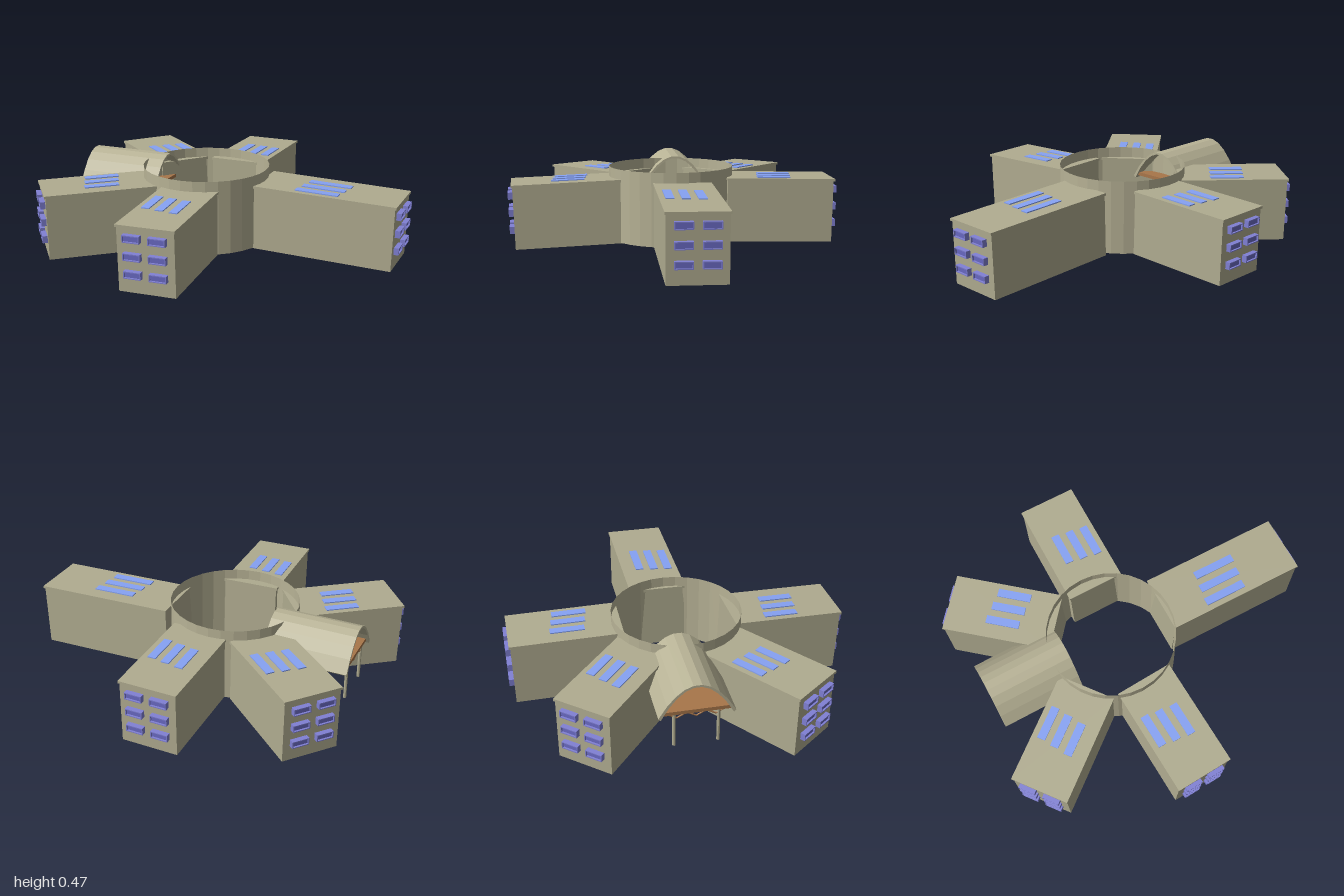
import * as THREE from 'three';

const mat = (color, extra = {}) => new THREE.MeshStandardMaterial({ color, flatShading: true, ...extra });
const wall = mat(0xb0ac90);
const shell = mat(0xb8b396, { side: THREE.DoubleSide });
const glass = mat(0x6a6ac4);
const frameMat = mat(0x8080d4);
const solar = mat(0x86a2f4);
const wood = mat(0xa8764a);

function mesh(name, geometry, material, x = 0, y = 0, z = 0) {
  const m = new THREE.Mesh(geometry, material);
  m.name = name;
  m.position.set(x, y, z);
  return m;
}
const box = (name, w, h, d, material, x, y, z) =>
  mesh(name, new THREE.BoxGeometry(w, h, d), material, x, y, z);

// Round bar between two points
function bar(name, a, b, radius, material) {
  const dir = b.clone().sub(a);
  const m = mesh(name, new THREE.CylinderGeometry(radius, radius, dir.length(), 8), material);
  m.position.copy(a).add(b).multiplyScalar(0.5);
  m.quaternion.setFromUnitVectors(new THREE.Vector3(0, 1, 0), dir.normalize());
  return m;
}

// Projecting window: hollow frame with a recessed pane
function createWindow(x, y, z) {
  const g = new THREE.Group();
  g.name = 'window';
  const w = 0.0475, h = 0.02, t = 0.005;
  const rect = (C, a, b) => new C([[-a, -b], [a, -b], [a, b], [-a, b]].map(p => new THREE.Vector2(...p)));
  const shape = rect(THREE.Shape, w, h);
  shape.holes.push(rect(THREE.Path, w - t, h - t));
  g.add(mesh('windowFrame', new THREE.ExtrudeGeometry(shape, { depth: 0.03, bevelEnabled: false }), frameMat));
  g.add(box('windowPane', 2 * (w - t), 2 * (h - t), 0.02, glass, 0, 0, 0.01));
  g.position.set(x, y, z);
  return g;
}

// Wing running outward along local +z from its inner end
function createWing({ name, from, to, base, drop, panel, along }) {
  const dx = to[0] - from[0], dz = to[1] - from[1];
  const length = Math.hypot(dx, dz);
  const g = new THREE.Group();
  g.name = name;
  g.add(box('wingBody', 0.315, 0.352, length - 0.012, wall, 0, 0.176, length / 2 - 0.002));
  g.add(box('wingRoof', 0.327, 0.014, length, wall, 0, 0.359, length / 2));
  // Roof panels, slightly staggered
  [-0.108, -0.025, 0.06].forEach((x, i) =>
    g.add(box('solarPanel', 0.046, 0.008, panel, solar, x, 0.368, along + (i - 1) * 0.013)));
  // Two columns of three windows on the outer end
  for (const x of [-0.07, 0.07])
    for (const y of [0.105, 0.203, 0.301]) g.add(createWindow(x, y, length - 0.01));
  g.rotation.order = 'YXZ';
  g.rotation.set(Math.atan2(drop, length), Math.atan2(dx, dz), 0);
  g.position.set(from[0], base, from[1]);
  return g;
}

// Vaulted walkway cover on a deck with posts
function createWalkway() {
  const g = new THREE.Group();
  g.name = 'walkway';
  const half = 0.2, rise = 0.18, n = 9, thick = 0.012;
  const arch = offset => Array.from({ length: n + 1 }, (_, i) => {
    const t = -1 + (2 * i) / n;
    return new THREE.Vector2(t * (half - offset), rise * (1 - t * t) - offset);
  });
  const shape = new THREE.Shape([...arch(0), ...arch(thick).reverse()]);
  const vault = mesh('vaultedRoof', new THREE.ExtrudeGeometry(shape, { depth: 0.48, bevelEnabled: false }), shell, -0.9, 0.293, 0);
  vault.rotation.y = Math.PI / 2;
  g.add(vault);
  g.add(box('deck', 0.45, 0.02, 0.36, wood, -0.66, 0.305, 0));
  // Zigzag bracing under the outer edge
  for (let i = 0; i < 6; i++) {
    const y = k => (k % 2 ? 0.27 : 0.297), z = k => -0.15 + k * 0.05;
    g.add(bar('brace', new THREE.Vector3(-0.875, y(i), z(i)), new THREE.Vector3(-0.875, y(i + 1), z(i + 1)), 0.004, wood));
  }
  for (const z of [-0.115, 0.115])
    g.add(bar('post', new THREE.Vector3(-0.875, 0.1, z), new THREE.Vector3(-0.875, 0.3, z), 0.009, wall));
  g.position.z = -0.05;
  return g;
}

export function createModel() {
  const model = new THREE.Group();
  model.name = 'radialBuilding';

  // Open round court wall
  model.add(mesh('courtWall', new THREE.CylinderGeometry(0.36, 0.36, 0.42, 32, 1, true), shell, -0.157, 0.242, 0));

  const wings = [
    { name: 'leftWing', from: [0.17, -0.035], to: [0.978, -0.032], base: 0.028, drop: 0.024, panel: 0.245, along: 0.365 },
    { name: 'frontWing', from: [-0.12, 0.29], to: [-0.09, 0.912], base: 0.03, drop: 0.022, panel: 0.19, along: 0.288 },
    { name: 'backWing', from: [-0.0925, -0.298], to: [-0.0875, -0.92], base: 0.035, drop: 0.012, panel: 0.19, along: 0.285 },
    { name: 'backRightWing', from: [-0.382, -0.222], to: [-0.852, -0.622], base: 0.03, drop: 0.008, panel: 0.19, along: 0.28 },
    { name: 'frontRightWing', from: [-0.41, 0.19], to: [-0.9, 0.572], base: 0.025, drop: 0.008, panel: 0.19, along: 0.28 },
  ];
  for (const w of wings) model.add(createWing(w));

  model.add(createWalkway());
  return model;
}
